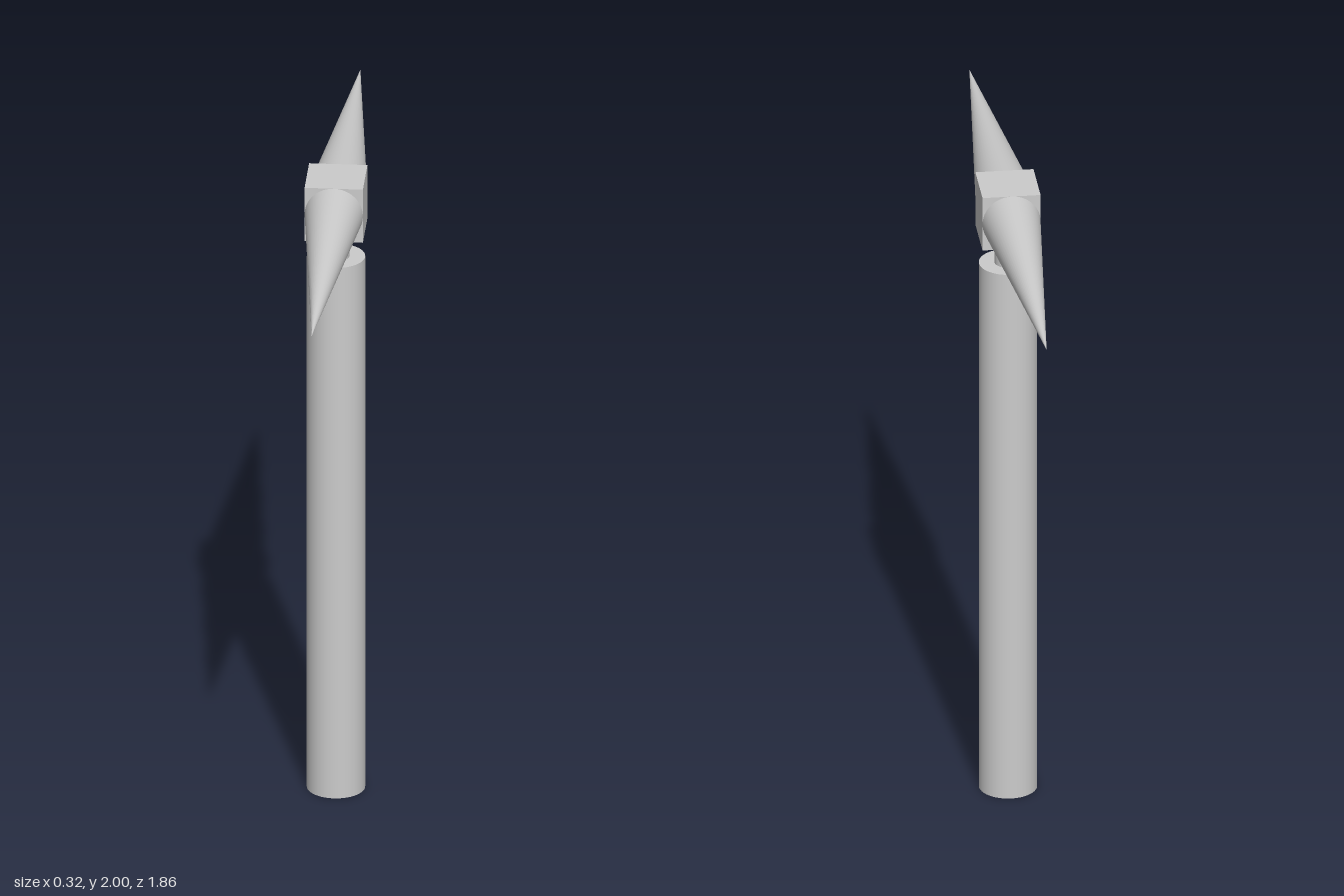
import * as THREE from 'three';

const R = 0.087; // handle radius, also half the head block

export function createModel() {
  const model = new THREE.Group();
  const material = new THREE.MeshStandardMaterial({ color: 0xcccccc });

  const add = (parent, name, geometry, y = 0) => {
    const mesh = new THREE.Mesh(geometry, material);
    mesh.name = name;
    mesh.position.y = y;
    parent.add(mesh);
    return mesh;
  };

  // Long round handle and the thin neck above it
  add(model, 'handle', new THREE.CylinderGeometry(R, R, 1.74, 48), 0.87);
  add(model, 'neck', new THREE.CylinderGeometry(0.04, 0.04, 0.09, 32), 1.783);

  // Head: a cube with a spike on each end, turned slightly on the handle
  const head = new THREE.Group();
  head.name = 'head';
  head.position.y = 2 - R;
  head.rotation.y = THREE.MathUtils.degToRad(9.9);
  model.add(head);
  add(head, 'headBlock', new THREE.BoxGeometry(2 * R, 2 * R, 2 * R));

  const spikeLength = 0.856;
  for (const side of [1, -1]) {
    const spike = add(head, side > 0 ? 'frontSpike' : 'backSpike',
      new THREE.ConeGeometry(R, spikeLength, 48));
    spike.rotation.x = side * Math.PI / 2;
    spike.position.z = side * (R + spikeLength / 2);
  }

  return model;
}
